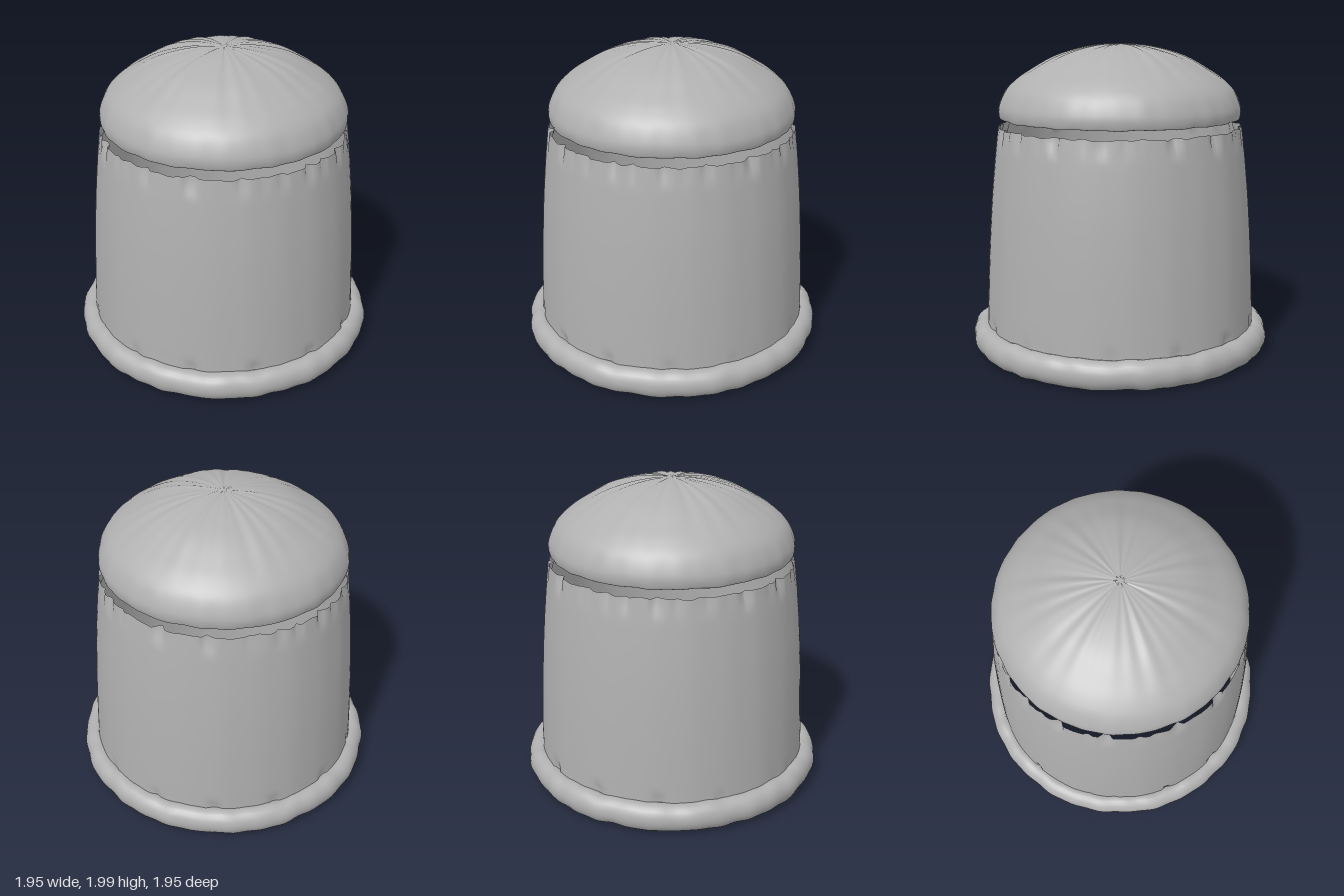
import * as THREE from 'three';
import { mergeVertices } from 'three/addons/utils/BufferGeometryUtils.js';

const SEGMENTS = 160;

// smooth, periodic irregularity around the axis, roughly -1..1
function wobble(a, freqs, seed) {
  let sum = 0;
  freqs.forEach((f, i) => { sum += Math.sin(f * a + seed * (i + 1) * 1.7); });
  return sum / freqs.length;
}

// lathe a profile, then push each point by rule(angle, radius, y) -> [radius, y]
function wornLathe(profile, rule) {
  const geo = new THREE.LatheGeometry(profile, SEGMENTS);
  const pos = geo.attributes.position;
  for (let i = 0; i < pos.count; i++) {
    const x = pos.getX(i), y = pos.getY(i), z = pos.getZ(i);
    const a = Math.atan2(x, z);
    const [r, h] = rule(a, Math.hypot(x, z), y);
    pos.setXYZ(i, r * Math.sin(a), h, r * Math.cos(a));
  }
  geo.deleteAttribute('normal');
  geo.deleteAttribute('uv');
  const merged = mergeVertices(geo, 1e-5);
  merged.computeVertexNormals();
  return merged;
}

const spline = (pts, n) =>
  new THREE.SplineCurve(pts.map(([x, y]) => new THREE.Vector2(x, y))).getPoints(n);

export function createModel() {
  const model = new THREE.Group();
  model.name = 'thimble';
  const metal = new THREE.MeshStandardMaterial({ color: 0xb0b0b0, side: THREE.DoubleSide });
  metal.name = 'grey metal';

  const add = (name, geometry) => {
    const mesh = new THREE.Mesh(geometry, metal);
    mesh.name = name;
    model.add(mesh);
  };

  // rolled rim at the foot, slightly lumpy
  const rimProfile = [];
  for (let i = 0; i <= 24; i++) {
    const t = (i / 24) * Math.PI * 2;
    rimProfile.push(new THREE.Vector2(0.897 + 0.076 * Math.cos(t), 0.105 + 0.09 * Math.sin(t)));
  }
  add('rolledRim', wornLathe(rimProfile, (a, r, y) => [
    r + 0.008 * wobble(a, [9, 17, 31], 2),
    y + (y > 0.105 ? 1 : -1) * Math.min(1, Math.abs(y - 0.105) / 0.05)
      * 0.006 * wobble(a, [13, 22, 37], y > 0.105 ? 4 : 7),
  ]));

  // thin tapering wall, open at both ends, with a crimped ragged top edge
  const wallProfile = spline([
    [0.885, 0.13], [0.88, 0.2], [0.872, 0.4], [0.857, 0.7], [0.836, 1.0],
    [0.812, 1.25], [0.797, 1.38], [0.785, 1.475],
  ], 40);
  add('wall', wornLathe(wallProfile, (a, r, y) => {
    const top = THREE.MathUtils.smoothstep(y, 1.33, 1.475);
    const foot = 1 - THREE.MathUtils.smoothstep(y, 0.19, 0.27);
    const crimp = Math.max(0, wobble(a, [19, 34, 47], 5) - 0.15);
    const dent = Math.max(0, wobble(a, [15, 28, 41], 9) - 0.3);
    return [
      r + 0.002 * wobble(a, [11, 23], 3) - 0.055 * top * crimp - 0.035 * foot * dent,
      y + top * 0.009 * wobble(a, [12, 27, 43], 6),
    ];
  }));

  // separate domed cap, its edge curled under, wrinkled towards the crown
  const capProfile = spline([
    [0.755, 1.535], [0.774, 1.532], [0.778, 1.6], [0.735, 1.7], [0.66, 1.775],
    [0.565, 1.838], [0.43, 1.913], [0.28, 1.962], [0.14, 1.988], [0, 1.996],
  ], 48);
  add('domedCap', wornLathe(capProfile, (a, r, y) => {
    const wrinkle = Math.sin(Math.PI * Math.min(1, r / 0.72)) ** 0.8 || 0;
    const edge = THREE.MathUtils.smoothstep(r, 0.7, 0.77);
    return [
      r + edge * 0.004 * wobble(a, [10, 21, 33], 8),
      y + 0.007 * wrinkle * wobble(a, [7, 13, 22, 29], 1)
        + (y < 1.56 ? 0.004 * wobble(a, [14, 26], 2) : 0),
    ];
  }));

  return model;
}
